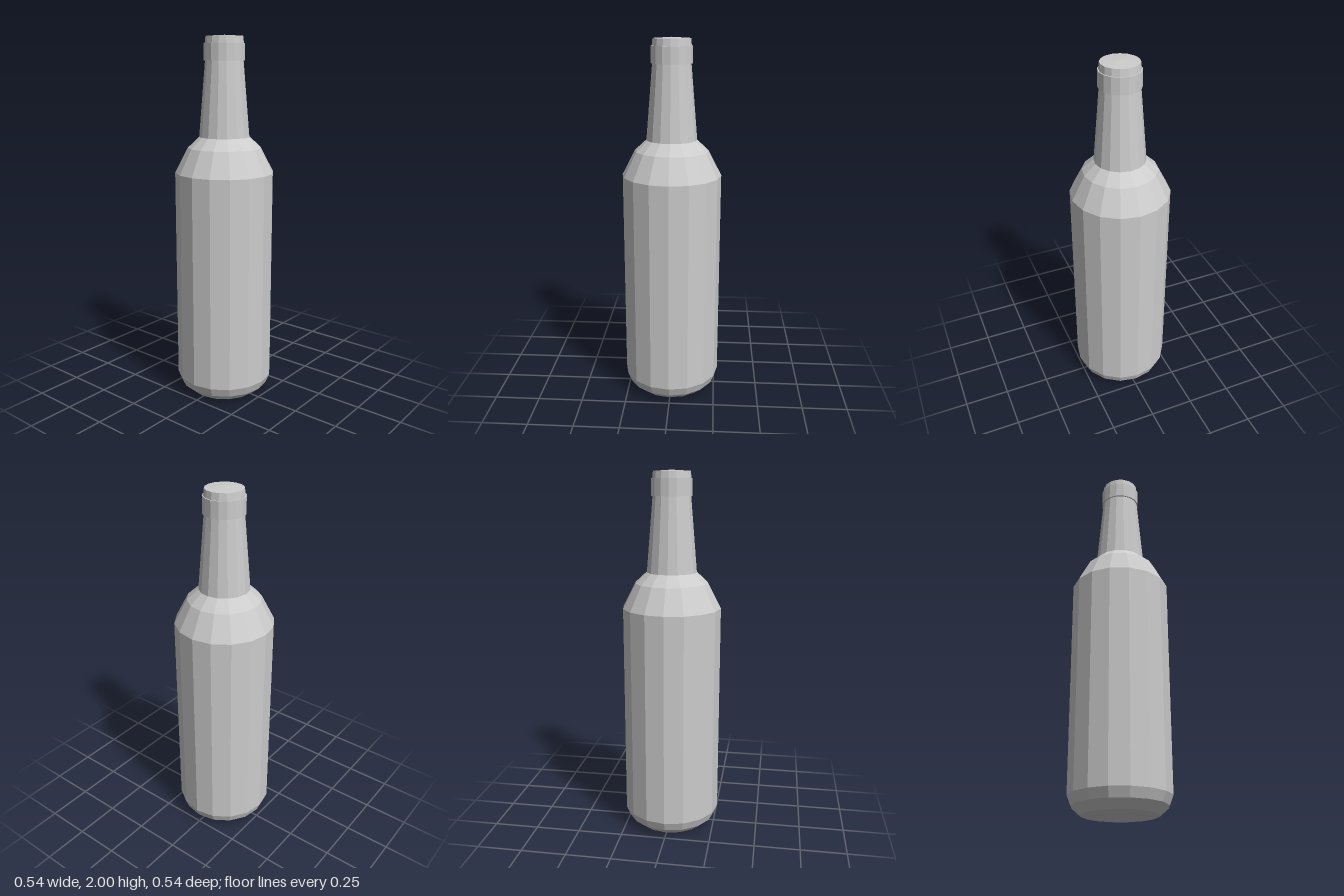
import * as THREE from 'three';

const SIDES = 16;

export function createModel() {
  const bottle = new THREE.Group();
  bottle.name = 'bottle';
  const glass = new THREE.MeshStandardMaterial({ color: 0xcccccc, flatShading: true });
  glass.name = 'pale grey';

  // Faceted ring from [radius, height] pairs, listed bottom to top
  const turn = (name, profile) => {
    const points = profile.map(([r, y]) => new THREE.Vector2(r, y));
    const mesh = new THREE.Mesh(new THREE.LatheGeometry(points, SIDES), glass);
    mesh.name = name;
    bottle.add(mesh);
  };

  // Slightly domed base and chamfered foot
  turn('base', [[0, 0], [0.2, 0.007], [0.25, 0.05], [0.27, 0.1]]);
  turn('body', [[0.27, 0.1], [0.27, 1.275]]);
  turn('shoulder', [[0.27, 1.275], [0.2, 1.41], [0.137, 1.468]]);
  turn('neck', [[0.137, 1.468], [0.103, 1.868]]);
  // Collar standing proud of the neck
  turn('collar', [[0.103, 1.868], [0.11, 1.868], [0.11, 1.957], [0.104, 1.957]]);
  // Closed, slightly domed mouth
  turn('mouth', [[0.104, 1.957], [0.1, 1.994], [0, 2]]);

  return bottle;
}
